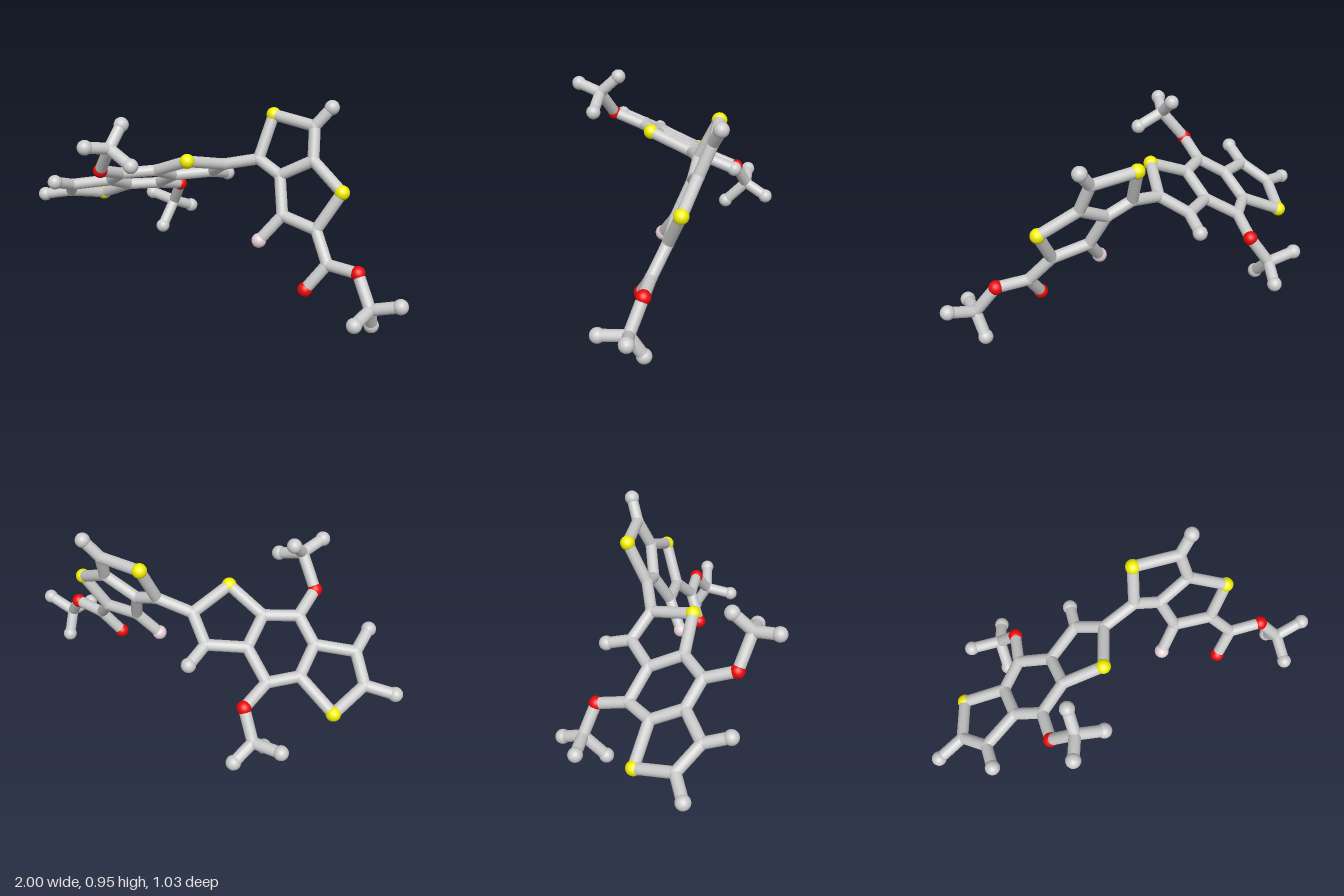
import * as THREE from 'three';

// Atom kinds: joint carbon, chain-end ball and coloured hetero atoms
const KINDS = {
  C: { name: 'jointAtom', r: 0.029, color: 0xcccccc },
  H: { name: 'endAtom', r: 0.035, color: 0xcccccc },
  S: { name: 'sulfurAtom', r: 0.035, color: 0xf2ee00 },
  O: { name: 'oxygenAtom', r: 0.034, color: 0xee0808 },
  F: { name: 'fluorineAtom', r: 0.035, color: 0xe8d0d8 },
};
const BOND_RADIUS = 0.0275;

// The three-ring plate is flat: its height follows from x and z
const plate = (x, z) => [x, 0.31 + 0.48 * (z + 0.115) + 0.39 * (x + 0.76), z];

// The first letter of each key gives the kind of atom
const PARTS = {
  threeRingPlate: {
    atoms: {
      S1: plate(-0.76, -0.118), C2: plate(-0.832, 0.065), C3: plate(-0.74, 0.17),
      C4: plate(-0.565, 0.09), C5: plate(-0.565, -0.065),
      C6: plate(-0.45, 0.16), C7: plate(-0.31, 0.07),
      C8: plate(-0.31, -0.09), C9: plate(-0.45, -0.17),
      S10: plate(-0.118, 0.098), C11: plate(-0.032, -0.1), C12: plate(-0.145, -0.185),
      H2: [-0.968, 0.338, 0.106], H3: [-0.75, 0.505, 0.292], H12: [-0.123, 0.474, -0.305],
    },
    bonds: 'S1-C2 C2-C3 C3-C4 C4-C5 C5-S1 C4-C6 C6-C7 C7-C8 C8-C9 C9-C5 ' +
      'C7-S10 S10-C11 C11-C12 C12-C8 C2-H2 C3-H3 C12-H12',
  },
  upperSideBranch: {
    atoms: {
      O20: [-0.464, 0.622, 0.308], C21: [-0.365, 0.765, 0.367],
      H22: [-0.359, 0.853, 0.274], H23: [-0.418, 0.794, 0.478], H24: [-0.237, 0.71, 0.388],
    },
    bonds: 'C6-O20 O20-C21 C21-H22 C21-H23 C21-H24',
  },
  lowerSideBranch: {
    atoms: {
      O30: [-0.413, 0.356, -0.32], C31: [-0.488, 0.225, -0.376],
      H32: [-0.632, 0.241, -0.39], H33: [-0.497, 0.115, -0.272], H34: [-0.445, 0.17, -0.479],
    },
    bonds: 'C9-O30 O30-C31 C31-H32 C31-H33 C31-H34',
  },
  twoRingPlate: {
    atoms: {
      C40: [0.137, 0.647, -0.134], S41: [0.167, 0.845, -0.226], C42: [0.39, 0.83, -0.2],
      C43: [0.415, 0.685, -0.14], C44: [0.26, 0.594, -0.113], S45: [0.59, 0.582, -0.074],
      C46: [0.495, 0.402, -0.015], C47: [0.313, 0.428, -0.038],
      H42: [0.458, 0.92, -0.233], F47: [0.223, 0.304, 0.022],
    },
    bonds: 'C11-C40 C40-S41 S41-C42 C42-C43 C43-C44 C44-C40 C43-S45 S45-C46 C46-C47 C47-C44 C42-H42 C47-F47',
  },
  tailBranch: {
    atoms: {
      C50: [0.585, 0.278, 0.055], O51: [0.502, 0.154, 0.104], O52: [0.742, 0.28, 0.076],
      C53: [0.828, 0.147, 0.132], H54: [0.964, 0.196, 0.128],
      H55: [0.816, 0.037, 0.07], H56: [0.807, 0.129, 0.266],
    },
    bonds: 'C46-C50 C50-O51 C50-O52 O52-C53 C53-H54 C53-H55 C53-H56',
  },
};

export function createModel() {
  const model = new THREE.Group();
  model.name = 'stickMolecule';
  const grey = new THREE.MeshStandardMaterial({ color: 0xcccccc });
  const ball = new THREE.SphereGeometry(1, 20, 14);
  const rod = new THREE.CylinderGeometry(1, 1, 1, 16, 1, true);
  const up = new THREE.Vector3(0, 1, 0);
  const points = {};

  for (const kind of Object.values(KINDS)) {
    kind.material = kind.color === 0xcccccc ? grey : new THREE.MeshStandardMaterial({ color: kind.color });
  }

  for (const [partName, part] of Object.entries(PARTS)) {
    const group = new THREE.Group();
    group.name = partName;

    // Balls at the atoms
    for (const [key, position] of Object.entries(part.atoms)) {
      const kind = KINDS[key[0]];
      const mesh = new THREE.Mesh(ball, kind.material);
      mesh.name = kind.name;
      mesh.position.set(...position);
      mesh.scale.setScalar(kind.r);
      points[key] = mesh.position;
      group.add(mesh);
    }

    // Rods from atom to atom
    for (const pair of part.bonds.split(' ')) {
      const [a, b] = pair.split('-').map((key) => points[key]);
      const along = b.clone().sub(a);
      const mesh = new THREE.Mesh(rod, grey);
      mesh.name = 'bond';
      mesh.position.copy(a).add(b).multiplyScalar(0.5);
      mesh.scale.set(BOND_RADIUS, along.length(), BOND_RADIUS);
      mesh.quaternion.setFromUnitVectors(up, along.normalize());
      group.add(mesh);
    }
    model.add(group);
  }
  return model;
}
